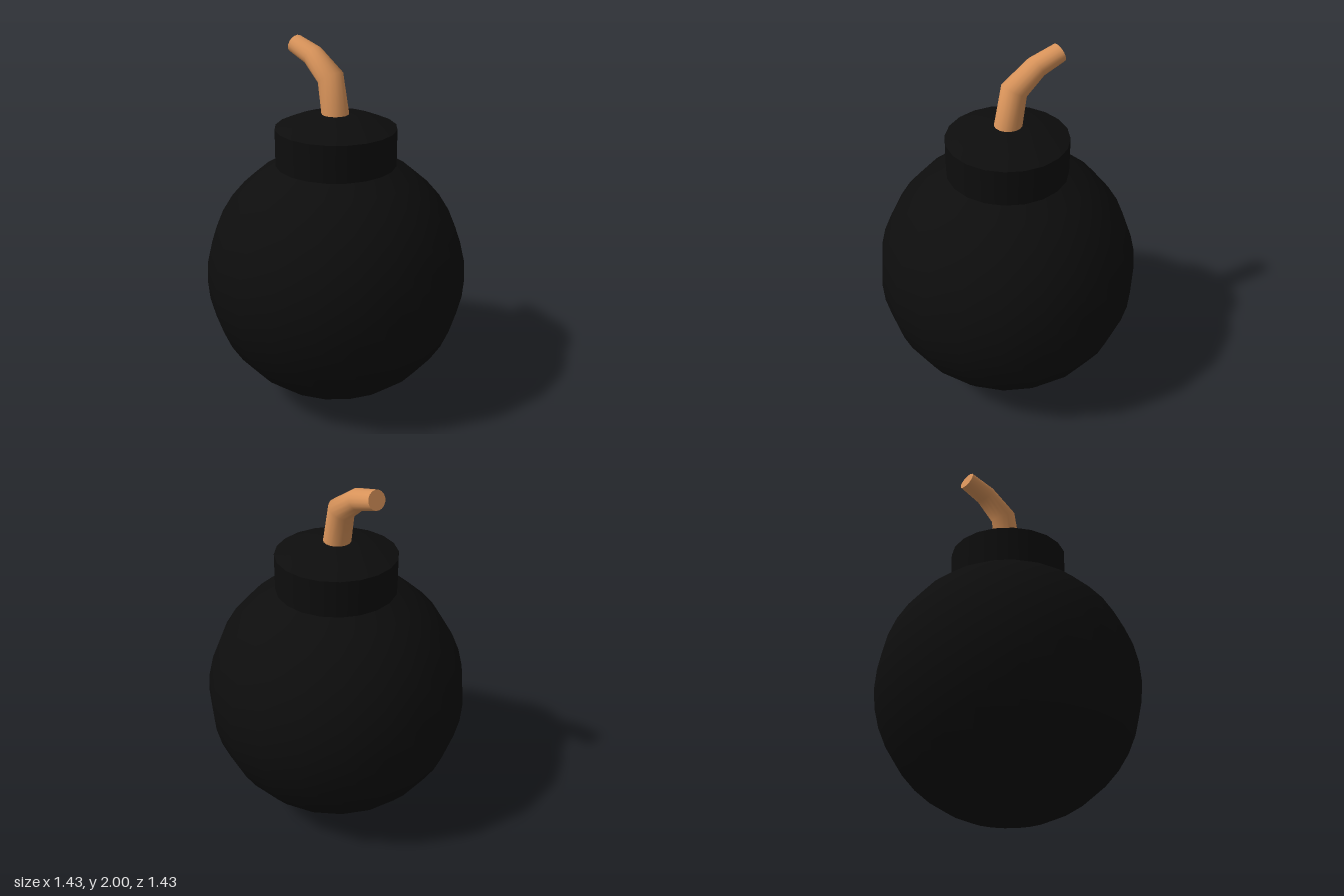
import * as THREE from 'three';

const SIDES = 20;
const RADIUS = 0.717;
const LIFT = 0.2; // height of the neck wall

// points on the ball's outline, from step a to step b (9 degrees each, 0 = bottom)
function arc(a, b, lift = 0) {
  const points = [];
  for (let i = a; i <= b; i++) {
    const t = (i * Math.PI) / 20;
    const r = i === 0 || i === 20 ? 0 : RADIUS * Math.sin(t);
    points.push(new THREE.Vector2(r, RADIUS * (1 - Math.cos(t)) + lift));
  }
  return points;
}

// smooth tube through tilted elliptical rings, closed at the tip
function loft(rings, sides) {
  const positions = [];
  const index = [];
  const addRing = ({ c, u, w }) => {
    for (let j = 0; j < sides; j++) {
      const t = (j / sides) * Math.PI * 2;
      positions.push(c[0] + u[0] * Math.cos(t), c[1] + u[1] * Math.cos(t), c[2] + w * Math.sin(t));
    }
  };
  rings.forEach(addRing);
  for (let i = 0; i < rings.length - 1; i++) {
    for (let j = 0; j < sides; j++) {
      const a = i * sides + j;
      const b = i * sides + ((j + 1) % sides);
      index.push(a, a + sides, b, b, a + sides, b + sides);
    }
  }
  // the tip gets its own ring so that its edge stays sharp
  const tip = rings[rings.length - 1];
  const start = rings.length * sides;
  addRing(tip);
  positions.push(...tip.c);
  for (let j = 0; j < sides; j++) index.push(start + sides, start + ((j + 1) % sides), start + j);

  const geometry = new THREE.BufferGeometry();
  geometry.setAttribute('position', new THREE.Float32BufferAttribute(positions, 3));
  geometry.setIndex(index);
  geometry.computeVertexNormals();
  return geometry;
}

export function createModel() {
  const black = new THREE.MeshStandardMaterial({ name: 'black', color: 0x0d0d0d });
  const tan = new THREE.MeshStandardMaterial({ name: 'tan', color: 0xd8935a });
  const group = new THREE.Group();
  const add = (name, geometry, material) => {
    const mesh = new THREE.Mesh(geometry, material);
    mesh.name = name;
    group.add(mesh);
  };

  // ball, neck wall and the lifted crown of the ball
  const rim = arc(17, 17)[0];
  add('body', new THREE.LatheGeometry(arc(0, 17), SIDES), black);
  add('neck', new THREE.LatheGeometry([rim, new THREE.Vector2(rim.x, rim.y + LIFT)], SIDES), black);
  add('neckTop', new THREE.LatheGeometry(arc(17, 20, LIFT), SIDES), black);

  // bent fuse: ring centre, half width in the bend plane, half width in z
  add('fuse', loft([
    { c: [0, 1.6, 0], u: [0.075, 0], w: 0.073 },
    { c: [-0.04, 1.815, 0], u: [0.062, 0.036], w: 0.07 },
    { c: [-0.172, 1.91, -0.003], u: [0.028, 0.05], w: 0.06 },
    { c: [-0.31, 1.952, -0.006], u: [0.015, 0.048], w: 0.053 },
  ], 16), tan);

  return group;
}
